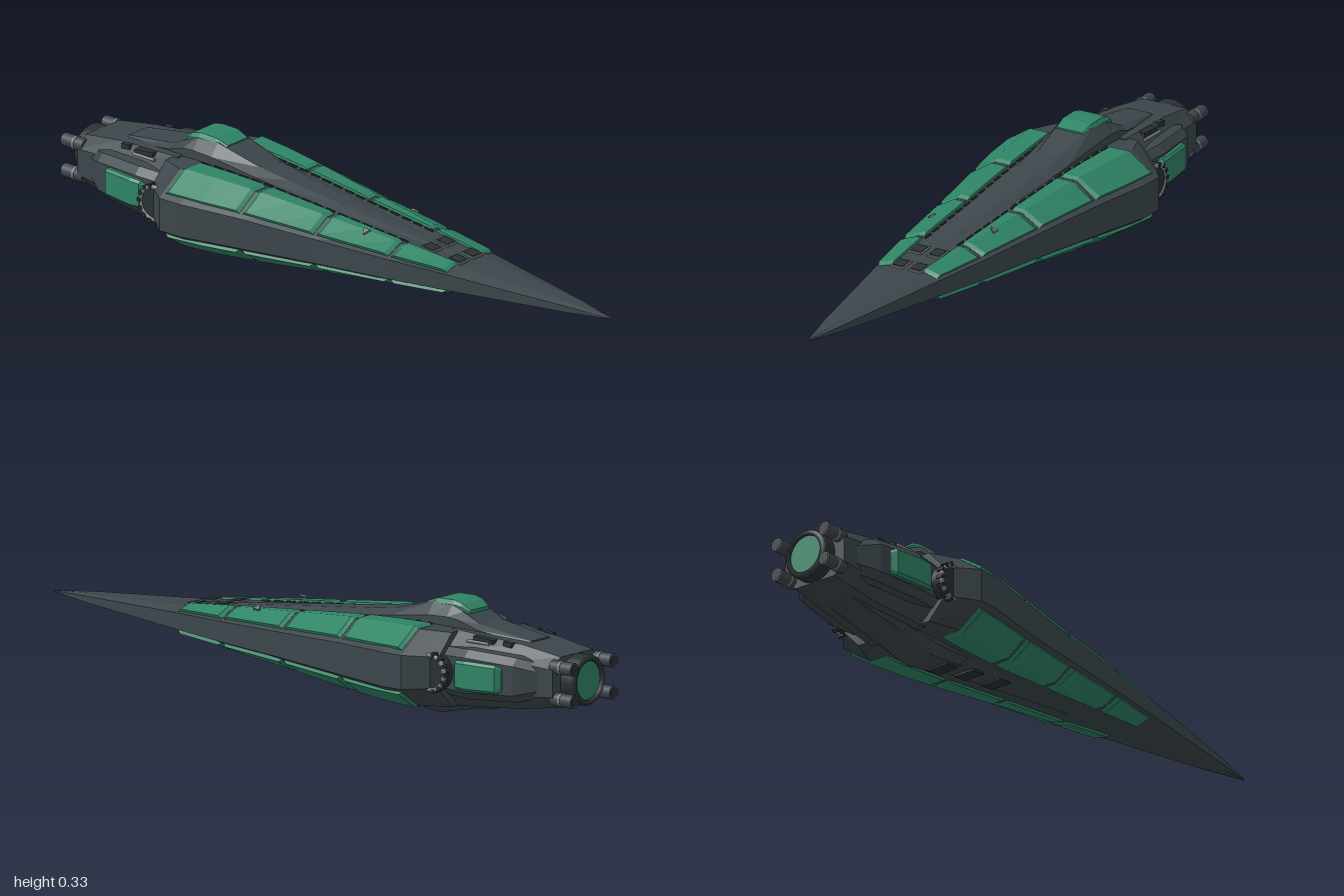
import * as THREE from 'three';

const material = (name, color) => {
  const m = new THREE.MeshStandardMaterial({ color });
  m.name = name;
  return m;
};
const MID = 0.15; // height of the long axis

// Faceted solid through cross-sections [{x, ring: [[z, y], ...]}], capped at both ends
function loft(sections) {
  const pos = [];
  let volume = 0;
  const a = new THREE.Vector3(), b = new THREE.Vector3(), c = new THREE.Vector3();
  const tri = (p, q, r) => {
    pos.push(...p, ...q, ...r);
    volume += a.set(...p).dot(b.set(...q).cross(c.set(...r)));
  };
  const rings = sections.map(({ x, ring }) => ring.map(([z, y]) => [x, y, z]));
  const n = rings[0].length;
  for (let i = 0; i + 1 < rings.length; i++) {
    for (let j = 0; j < n; j++) {
      const k = (j + 1) % n, r = rings[i], s = rings[i + 1];
      tri(r[j], r[k], s[k]);
      tri(r[j], s[k], s[j]);
    }
  }
  const first = rings[0], last = rings[rings.length - 1];
  for (let j = 1; j + 1 < n; j++) {
    tri(first[0], first[j + 1], first[j]);
    tri(last[0], last[j], last[j + 1]);
  }
  // turn the faces outward
  if (volume < 0) {
    for (let i = 0; i < pos.length; i += 9) {
      for (let k = 3; k < 6; k++) [pos[i + k], pos[i + k + 3]] = [pos[i + k + 3], pos[i + k]];
    }
  }
  const g = new THREE.BufferGeometry();
  g.setAttribute('position', new THREE.Float32BufferAttribute(pos, 3));
  g.computeVertexNormals();
  return g;
}

// Hull stations: x, half width, wall half height, shoulder z, shoulder height, panel inner z
const HULL = [
  [-0.58, 0.19, 0.045, 0.13, 0.108, 0.1],
  [-0.495, 0.255, 0.05, 0.165, 0.112, 0.1],
  [-0.42, 0.253, 0.05, 0.16, 0.112, 0.095],
  [-0.23, 0.216, 0.046, 0.135, 0.102, 0.083],
  [0.02, 0.176, 0.037, 0.105, 0.08, 0.07],
  [0.27, 0.14, 0.03, 0.078, 0.058, 0.06],
  [0.47, 0.104, 0.024, 0.055, 0.038, 0.048],
  [0.86, 0.033, 0.009, 0.016, 0.015, 0.01],
  [1, 0.002, 0.001, 0.001, 0.002, 0.001],
];
const TAIL = [
  [-0.935, 0.108, 0.04, 0.072, 0.074],
  [-0.8, 0.118, 0.05, 0.08, 0.094],
  [-0.56, 0.16, 0.055, 0.1, 0.112],
];
const hullRing = ([x, w, s, zt, yt]) => ({
  x,
  ring: [[w, s], [zt, yt], [-zt, yt], [-w, s], [-w, -s], [-zt, -yt], [zt, -yt], [w, -s]]
    .map(([z, y]) => [z, y + MID]),
});
function hullAt(x) {
  let i = 0;
  while (i < HULL.length - 2 && HULL[i + 1][0] < x) i++;
  const t = (x - HULL[i][0]) / (HULL[i + 1][0] - HULL[i][0]);
  return HULL[i].map((v, k) => v + (HULL[i + 1][k] - v) * t);
}

// Ridge stations: x, base half width, base y, mid y, top half width, top y
const ridge = (rows) => loft(rows.map(([x, wb, yb, ym, wt, yt]) => ({
  x, ring: [[wb, yb], [wb, ym], [wt, yt], [-wt, yt], [-wb, ym], [-wb, yb]],
})));

// Raised armour plate wrapped over the shoulder; side and up are +1 or -1
function armour(x0, x1, side, up) {
  const stops = [[x0, 0], [x0 + 0.012, 1], [(x0 + x1) / 2, 1], [x1 - 0.012, 1], [x1, 0]];
  return loft(stops.map(([x, lift]) => {
    const [, w, s, zt, yt, zi] = hullAt(x);
    const h = 0.001 + 0.008 * lift, d = 0.012;
    const az = w + (zt - w) * 0.17, ay = s + (yt - s) * 0.17;
    return {
      x,
      ring: [
        [zt - d * 0.3, yt - d], [az - d * 0.6, ay - d * 0.8],
        [az + h * 0.4, ay + h], [zt + h * 0.35, yt + h * 0.8],
        [zi + 0.004, yt + h * 0.8], [zi, yt - d],
      ].map(([z, y]) => [z * side, MID + y * up]),
    };
  }));
}

export function createModel() {
  const hullPaint = material('hull grey', 0x3c464b);
  const green = material('armour green', 0x2f8465);
  const dark = material('dark metal', 0x2a3034);
  const steel = material('pale steel', 0x747a7c);

  const model = new THREE.Group();
  model.name = 'spacecraft';
  const add = (name, geometry, mat, x = 0, y = 0, z = 0) => {
    const m = new THREE.Mesh(geometry, mat);
    m.name = name;
    m.position.set(x, y, z);
    model.add(m);
    return m;
  };
  const box = (name, mat, w, h, d, x, y, z) => add(name, new THREE.BoxGeometry(w, h, d), mat, x, y, z);

  // Main body
  add('hull', loft(HULL.map(hullRing)), hullPaint);
  add('tailBody', loft(TAIL.map(hullRing)), hullPaint);
  add('spine', ridge([
    [-0.8, 0.05, 0.2, 0.235, 0.04, 0.248], [-0.62, 0.07, 0.2, 0.262, 0.05, 0.274],
    [-0.56, 0.08, 0.2, 0.284, 0.055, 0.304], [-0.52, 0.081, 0.2, 0.288, 0.052, 0.322],
    [-0.45, 0.081, 0.2, 0.285, 0.052, 0.321], [-0.3, 0.07, 0.2, 0.262, 0.037, 0.28],
    [-0.2, 0.065, 0.2, 0.25, 0.03, 0.264], [0, 0.055, 0.19, 0.232, 0.025, 0.242],
    [0.3, 0.04, 0.17, 0.198, 0.015, 0.207], [0.55, 0.02, 0.16, 0.172, 0.008, 0.18],
  ]), hullPaint);
  add('keel', ridge([
    [-0.82, 0.06, 0.1, 0.07, 0.045, 0.056], [-0.6, 0.07, 0.1, 0.04, 0.05, 0.026],
    [-0.48, 0.076, 0.1, 0.025, 0.05, 0], [-0.45, 0.076, 0.1, 0.025, 0.05, 0],
    [-0.33, 0.07, 0.1, 0.035, 0.045, 0.018], [-0.32, 0.065, 0.1, 0.045, 0.042, 0.03],
    [-0.1, 0.055, 0.1, 0.066, 0.035, 0.053], [0.3, 0.03, 0.12, 0.1, 0.02, 0.094],
  ]), hullPaint);
  add('canopy', ridge([
    [-0.575, 0.045, 0.298, 0.303, 0.04, 0.308], [-0.55, 0.054, 0.298, 0.316, 0.046, 0.325],
    [-0.52, 0.055, 0.298, 0.32, 0.047, 0.332], [-0.46, 0.054, 0.298, 0.318, 0.047, 0.331],
    [-0.42, 0.049, 0.29, 0.31, 0.043, 0.317],
  ]), green);

  // Keel slots
  for (const [x, y] of [[-0.36, 0.012], [-0.24, 0.036], [-0.12, 0.051]]) {
    box('keelSlot', dark, 0.05, 0.009, 0.07, x, y, 0).rotation.z = 0.1;
  }

  const spans = [[-0.485, -0.235], [-0.225, 0.012], [0.022, 0.265], [0.275, 0.46]];
  for (const side of [1, -1]) {
    // Armour rows above and below
    for (const up of [1, -1]) {
      for (const [x0, x1] of spans) add('armourPanel', armour(x0, x1, side, up), green);
    }

    // Dashed seam beside the armour
    for (let x = -0.46; x < 0.26; x += 0.045) {
      const [, , , , yt, zi] = hullAt(x);
      box('seamRib', dark, 0.03, 0.008, 0.005, x, MID + yt, side * (zi - 0.006)).rotation.z = -0.08;
    }

    // Marker plate and bow hatches
    const marker = add('markerPlate', new THREE.CylinderGeometry(0.014, 0.014, 0.006, 3), steel,
      0.16, MID + 0.078, side * 0.105);
    marker.rotation.x = side * 0.55;
    for (const x of [0.345, 0.445]) {
      const y = MID + hullAt(x)[4];
      box('hatchFrame', steel, 0.05, 0.008, 0.046, x, y + 0.001, side * 0.031).rotation.z = -0.1;
      box('hatchCover', dark, 0.04, 0.008, 0.036, x, y + 0.003, side * 0.031).rotation.z = -0.1;
    }

    // Side pod with its green plate
    const pod = [[-0.9, 0.1, 0.035], [-0.82, 0.15, 0.055], [-0.66, 0.172, 0.063], [-0.58, 0.165, 0.06]];
    add('sidePod', loft(pod.map(([x, w, h]) => ({
      x,
      ring: [[0.05, h + 0.015], [w - 0.02, h + 0.01], [w, h - 0.012],
        [w, 0.012 - h], [w - 0.02, -h - 0.01], [0.05, -h - 0.015]]
        .map(([z, y]) => [z * side, y + MID]),
    }))), hullPaint);
    const plate = [[-0.785, 0.158, 0.034], [-0.772, 0.174, 0.042], [-0.67, 0.187, 0.044],
      [-0.635, 0.185, 0.042], [-0.622, 0.172, 0.034]];
    add('podPlate', loft(plate.map(([x, w, h]) => ({
      x,
      ring: [[0.14, h], [w - 0.007, h], [w, h - 0.008], [w, 0.008 - h], [w - 0.007, -h], [0.14, -h]]
        .map(([z, y]) => [z * side, y + MID]),
    }))), green);

    // Round side turbine tucked behind the hull shoulder
    const drum = add('turbineDrum', new THREE.CylinderGeometry(0.054, 0.054, 0.1, 32), dark, -0.56, MID, side * 0.155);
    drum.rotation.x = Math.PI / 2;
    add('turbineRing', new THREE.TorusGeometry(0.05, 0.007, 8, 32), steel, -0.56, MID, side * 0.202);
    for (let i = 0; i < 7; i++) {
      const a = Math.PI / 2 + (i + 0.5) * Math.PI / 7;
      box('turbineTooth', dark, 0.012, 0.01, 0.022, -0.56 + Math.cos(a) * 0.054,
        MID + Math.sin(a) * 0.054, side * 0.2).rotation.z = a;
    }

    // Deck fittings on the tail
    box('deckFitting', dark, 0.07, 0.012, 0.03, -0.68, 0.246, side * 0.098).rotation.z = 0.08;
    box('deckFitting', dark, 0.03, 0.014, 0.02, -0.76, 0.241, side * 0.09).rotation.z = 0.08;
    const vent = add('deckPipe', new THREE.CylinderGeometry(0.005, 0.005, 0.08, 8), steel, -0.67, 0.24, side * 0.122);
    vent.rotation.z = Math.PI / 2;

    // Corner thrusters
    for (const up of [1, -1]) {
      const y = MID + up * 0.047, z = side * 0.088;
      for (const [name, mat, r, len, x] of [
        ['thruster', hullPaint, 0.02, 0.08, -0.96],
        ['thrusterBand', steel, 0.0215, 0.008, -0.955],
        ['thrusterMouth', dark, 0.015, 0.004, -0.9995],
      ]) {
        add(name, new THREE.CylinderGeometry(r, r, len, 20), mat, x, y, z).rotation.z = Math.PI / 2;
      }
    }
  }

  // Main engine
  const nozzle = [[0.074, 0], [0.074, 0.045], [0.068, 0.053], [0.058, 0.053], [0.056, 0.035]]
    .map(([r, h]) => new THREE.Vector2(r, h));
  const engine = add('engineCollar', new THREE.LatheGeometry(nozzle, 32), dark, -0.93, MID, 0);
  engine.rotation.z = Math.PI / 2;
  const glow = add('engineDisc', new THREE.CylinderGeometry(0.057, 0.057, 0.008, 32), green, -0.97, MID, 0);
  glow.rotation.z = Math.PI / 2;

  return model;
}
